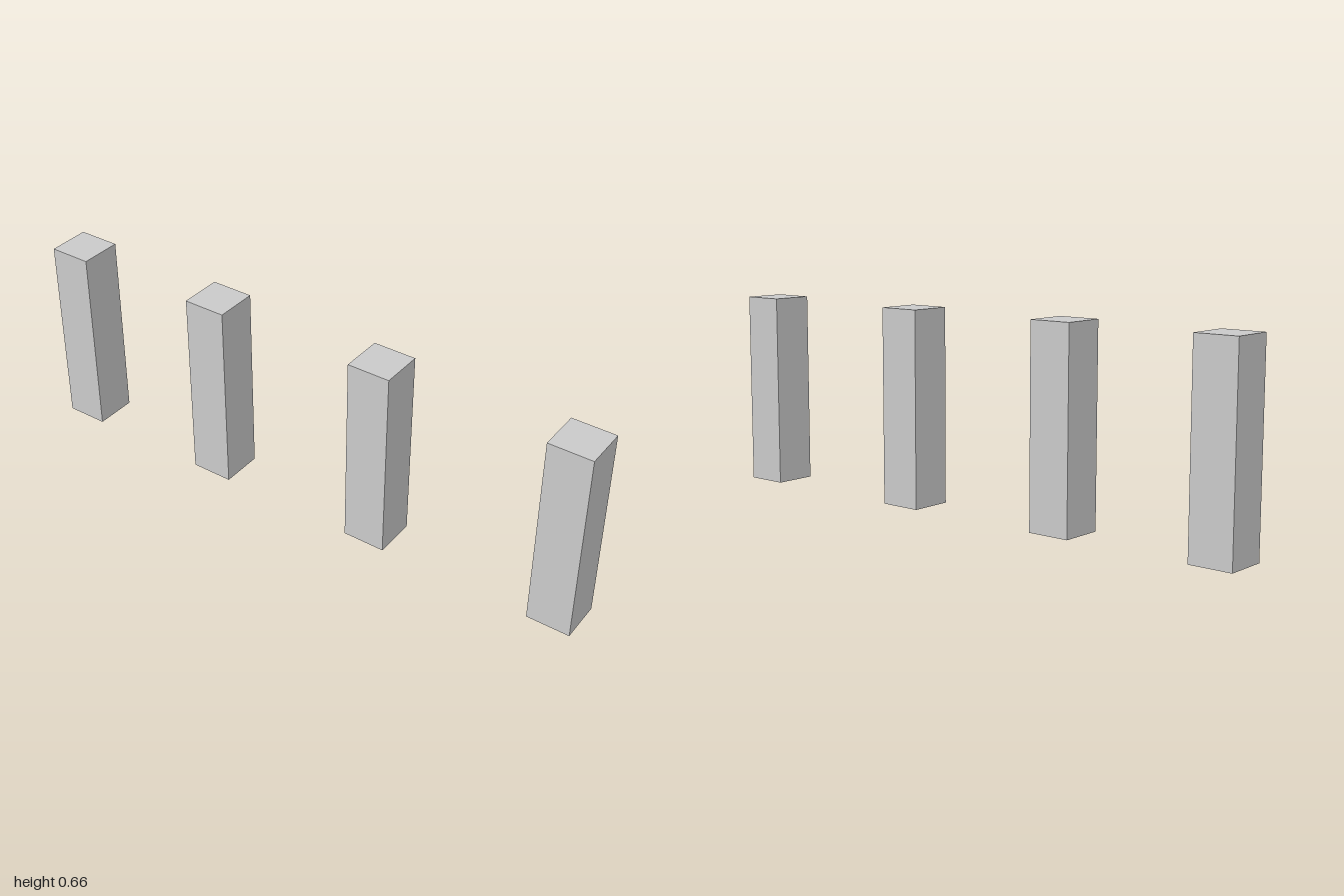
import * as THREE from 'three';

export function createModel() {
  const group = new THREE.Group();
  group.name = 'postRow';
  const width = 0.145, height = 0.656;
  const material = new THREE.MeshStandardMaterial({ color: 0xcccccc, flatShading: true });
  const geometry = new THREE.BoxGeometry(width, height, width);

  // Four square posts in a line from front to back
  const end = 1 - width / 2;
  [end, 0.264, -0.356, -end].forEach((z, i) => {
    const post = new THREE.Mesh(geometry, material);
    post.name = `post${i + 1}`;
    post.position.set(0, height / 2, z);
    group.add(post);
  });
  return group;
}
